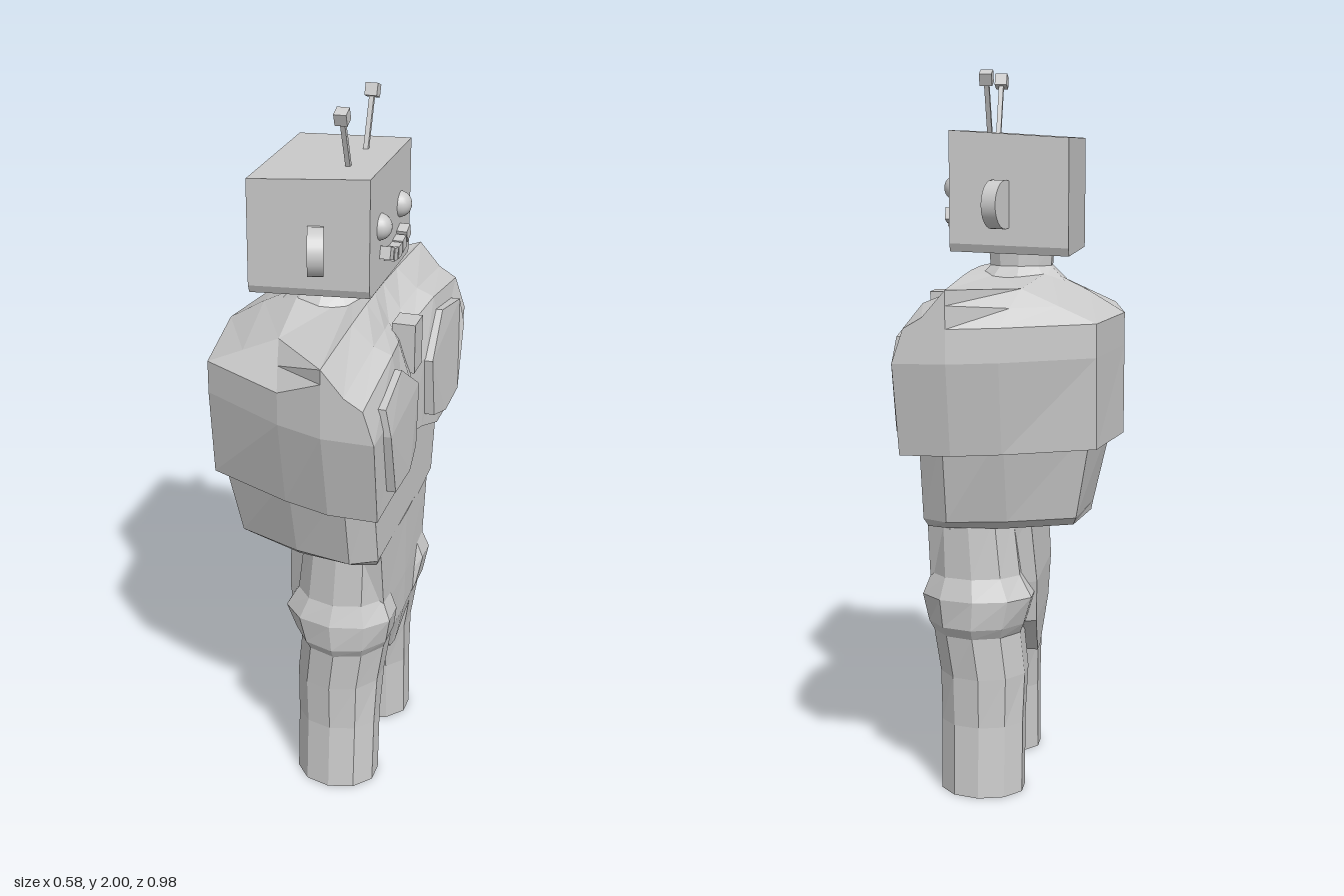
import * as THREE from 'three';

const grey = new THREE.MeshStandardMaterial({ color: 0xcccccc, flatShading: true });
const smooth = new THREE.MeshStandardMaterial({ color: 0xcccccc });

// Skin closed rings of [x, y, z] points, listed bottom to top, with capped ends.
function loft(rings) {
  const pos = [];
  const tri = (a, b, c) => pos.push(...a, ...b, ...c);
  const middle = (r) => [0, 1, 2].map((k) => r.reduce((s, p) => s + p[k], 0) / r.length);
  const n = rings[0].length, top = rings[rings.length - 1];
  const low = middle(rings[0]), high = middle(top);
  for (let i = 0; i < n; i++) {
    const j = (i + 1) % n;
    for (let r = 0; r < rings.length - 1; r++) {
      const a = rings[r], b = rings[r + 1];
      tri(a[i], a[j], b[j]);
      tri(a[i], b[j], b[i]);
    }
    tri(low, rings[0][j], rings[0][i]);
    tri(high, top[i], top[j]);
  }
  const g = new THREE.BufferGeometry();
  g.setAttribute('position', new THREE.Float32BufferAttribute(pos, 3));
  g.computeVertexNormals();
  return g;
}

// Complete a half ring, running from back centre to front centre, by mirroring in z.
const mirror = (half) => [...half, ...half.slice(1, -1).reverse().map(([x, y, z]) => [x, y, -z])];
const flatRing = (y, half) => mirror(half.map(([x, z]) => [x, y, z]));

// Ten-sided oval ring.
const oval = ([y, cx, rx, cz, rz]) => Array.from({ length: 10 }, (_, i) => {
  const a = ((i + 0.5) / 10) * Math.PI * 2;
  return [cx + rx * Math.cos(a), y, cz - rz * Math.sin(a)];
});

export function createModel() {
  const model = new THREE.Group();
  const add = (name, geometry, x = 0, y = 0, z = 0, material = grey) => {
    const m = new THREE.Mesh(geometry, material);
    m.name = name;
    m.position.set(x, y, z);
    model.add(m);
    return m;
  };

  // Broad chest: each column runs from its lower edge up to the shoulder top.
  const columns = [
    [[-.29, 1, 0], [-.29, 1.25, 0], [-.29, 1.34, 0], [-.19, 1.4, 0], [-.08, 1.455, 0]],
    [[-.24, 1, .28], [-.24, 1.25, .31], [-.24, 1.34, .31], [-.14, 1.385, .31], [-.04, 1.43, .31]],
    [[0, 1, .39], [0, 1.25, .445], [0, 1.34, .445], [-.02, 1.385, .38], [-.04, 1.43, .31]],
    [[.13, 1, .43], [.13, 1.25, .49], [.13, 1.34, .49], [.13, 1.4, .49], [.13, 1.44, .49]],
    [[.265, 1, .43], [.27, 1.25, .49], [.24, 1.34, .49], [.19, 1.37, .49], [.13, 1.44, .49]],
    [[.265, 1, .2], [.268, 1.25, .22], [.24, 1.38, .22], [.19, 1.4, .22], [.13, 1.455, .22]],
    [[.25, 1.04, .08], [.255, 1.25, .08], [.22, 1.36, .08], [.18, 1.39, .08], [.13, 1.46, .08]],
    [[.235, 1.05, 0], [.235, 1.25, 0], [.2, 1.34, 0], [.17, 1.38, 0], [.13, 1.46, 0]],
  ];
  add('chest', loft([0, 1, 2, 3, 4].map((l) => mirror(columns.map((c) => c[l])))));
  add('breastbone', new THREE.BoxGeometry(.065, .14, .08), .222, 1.325, 0);

  // Waist below the chest, then the tapering pelvis between the legs
  add('waist', loft([
    flatRing(.775, [[-.2, 0], [-.17, .2], [0, .27], [.16, .29], [.22, .27], [.23, 0]]),
    flatRing(.8, [[-.205, 0], [-.18, .23], [0, .3], [.16, .33], [.23, .29], [.23, 0]]),
    flatRing(1.06, [[-.265, 0], [-.225, .27], [0, .375], [.16, .395], [.23, .35], [.23, 0]]),
  ]));
  add('pelvis', loft([
    [.36, .04, .205, -.05], [.48, .2, .23, -.06], [.6, .235, .232, -.065], [.8, .28, .232, -.05],
  ].map(([y, w, front, back]) => flatRing(y, [
    [back, 0], [back, w * .7], [.05, w * .9], [.16, w], [front - .005, w * .9], [front, 0],
  ]))));

  // Head and neck
  const headRing = (y, w, rise) =>
    mirror([[-.155, 0], [-.155, w], [.17, w - .022], [.17, 0]].map(([x, z]) => [x, y + (x > 0 ? rise : 0), z]));
  add('head', loft([headRing(1.508, .21, .01), headRing(1.53, .22, .01), headRing(1.82, .22, .02)]));
  add('neck', loft([[1.43, 0, .13, 0, .11], [1.47, 0, .09, 0, .065], [1.53, 0, .095, 0, .065]].map(oval)));

  // Teeth along a smile
  for (let i = -2; i <= 2; i++) {
    const tooth = add('tooth', new THREE.BoxGeometry(.035, .034, .036), .181, 1.588 + .0055 * i * i, .042 * i);
    tooth.rotation.x = -i * .17;
  }

  // Paired parts
  for (const s of [1, -1]) {
    add('leg', loft([
      [0, .085, .12, .18, .103],
      [.2, .085, .12, .168, .102],
      [.34, .085, .125, .15, .127],
      [.46, .1, .128, .15, .135],
      [.49, .1, .14, .165, .138],
      [.57, .095, .16, .185, .122],
      [.63, .1, .13, .18, .107],
      [.8, .11, .12, .18, .107],
    ].map(([y, cx, rx, cz, rz]) => oval([y, cx, rx, cz * s, rz]))));

    // Chest plate, bent back towards its top and its inner end
    const outline = [[.4, 1.31], [.22, 1.343], [.075, 1.245], [.1, 1.07], [.2, 1.043], [.345, 1.05], [.4, 1.235]];
    const plate = new THREE.ExtrudeGeometry(
      new THREE.Shape(outline.map(([z, y]) => new THREE.Vector2(-z * s, y))),
      { depth: .06, bevelEnabled: false });
    plate.rotateY(Math.PI / 2).translate(.23, 0, 0);
    const p = plate.attributes.position;
    for (let i = 0; i < p.count; i++) {
      const top = Math.max(0, p.getY(i) - 1.25), inner = Math.max(0, .2 - Math.abs(p.getZ(i)));
      p.setX(i, p.getX(i) - top * .25 - inner * .1);
    }
    plate.computeVertexNormals();
    add('chestPlate', plate);

    add('eye', new THREE.SphereGeometry(.036, 20, 14), .165, 1.685, .098 * s, smooth);

    // Disc ear, angled out and back
    const ear = new THREE.CylinderGeometry(.065, .065, .042, 24).rotateZ(Math.PI / 2);
    add('ear', ear, .032, 1.645, .222 * s, smooth).rotation.y = s * .3;

    // Antenna with a block tip
    const antenna = new THREE.Group();
    antenna.name = 'antenna';
    const rod = new THREE.Mesh(new THREE.BoxGeometry(.013, .18, .013).translate(0, .07, 0), grey);
    rod.name = 'antennaRod';
    const tip = new THREE.Mesh(new THREE.BoxGeometry(.034, .034, .034).translate(0, .157, 0), grey);
    tip.name = 'antennaTip';
    antenna.add(rod, tip);
    antenna.position.set(.077, 1.832, .08 * s);
    antenna.rotation.x = s * .38;
    model.add(antenna);
  }
  return model;
}
